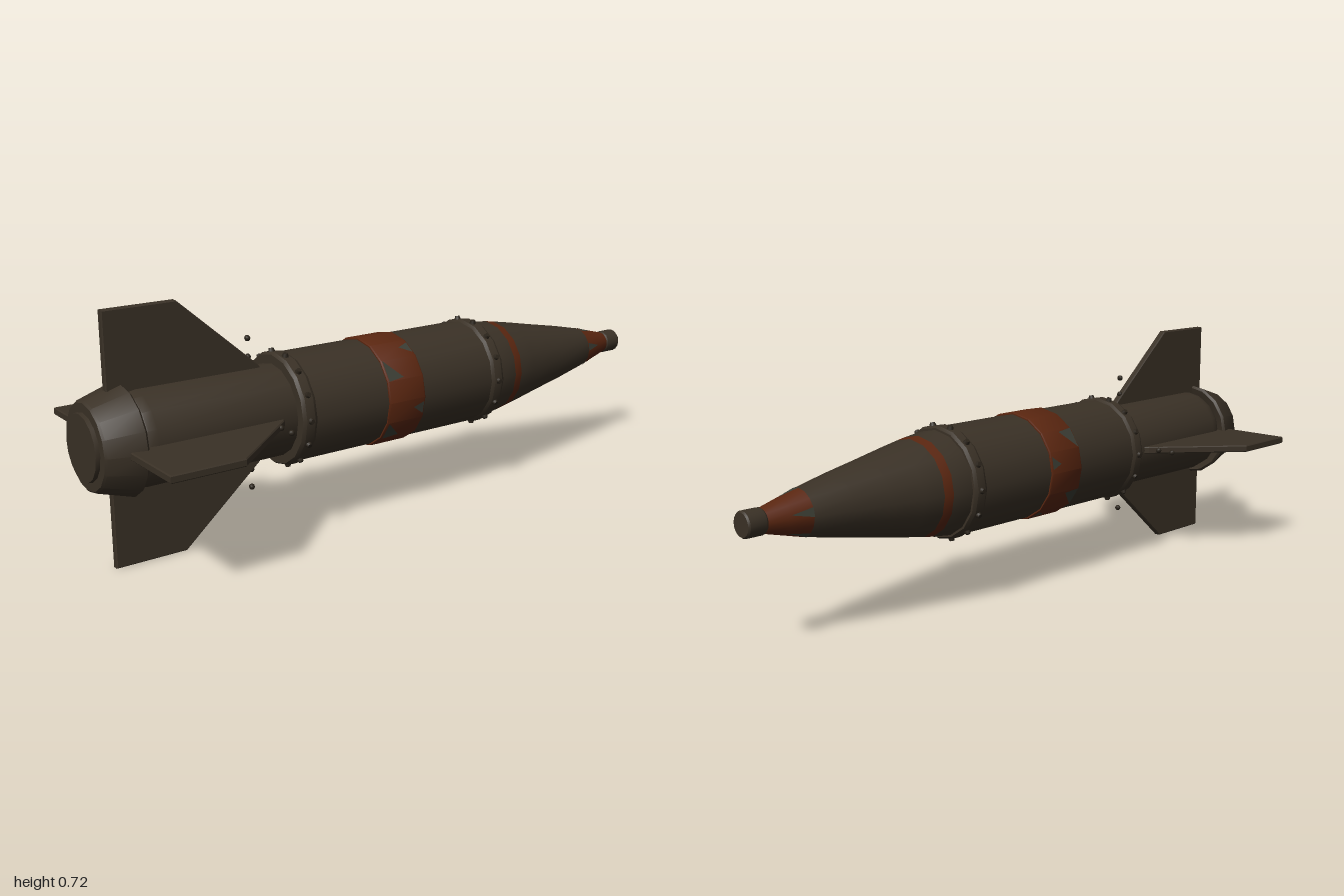
import * as THREE from 'three';
import { toCreasedNormals } from 'three/addons/utils/BufferGeometryUtils.js';

const SIDES = 16;

export function createModel() {
  const olive = new THREE.MeshStandardMaterial({ name: 'dark olive', color: 0x3a3126 });
  const rust = new THREE.MeshStandardMaterial({ name: 'rust orange', color: 0x5a2610 });
  const chip = new THREE.MeshStandardMaterial({ name: 'worn grey', color: 0x3b3d34, side: THREE.DoubleSide });
  const dark = new THREE.MeshStandardMaterial({ name: 'bolt brown', color: 0x2b241b });

  const model = new THREE.Group();
  model.name = 'rocket';
  const rocket = new THREE.Group();
  rocket.name = 'rocketBody';
  rocket.position.y = 0.36;
  model.add(rocket);

  const add = (name, geometry, material, parent = rocket) => {
    const mesh = new THREE.Mesh(geometry, material);
    mesh.name = name;
    parent.add(mesh);
    return mesh;
  };

  // Turned part along z; profile is [radius, z] from nose side to tail side
  const turned = (name, profile, material, start = 0, arc = Math.PI * 2, segments = SIDES) => {
    const points = profile.map(([r, z]) => new THREE.Vector2(r, z));
    const geometry = new THREE.LatheGeometry(points, segments, start, arc).rotateX(Math.PI / 2);
    return add(name, toCreasedNormals(geometry, 0.5), material);
  };

  // Nose cone, split where the paint changes
  turned('noseTip', [[0, -1], [0.033, -1], [0.037, -0.995], [0.037, -0.945], [0.034, -0.94]], olive);
  turned('nosePaint', [[0.034, -0.94], [0.05, -0.88], [0.066, -0.82]], rust);
  turned('noseCone', [[0.066, -0.82], [0.09, -0.71], [0.111, -0.6], [0.131, -0.5], [0.143, -0.435]], olive);
  turned('noseStripe', [[0.143, -0.435], [0.148, -0.405]], rust);
  turned('noseBase', [[0.148, -0.405], [0.156, -0.34]], olive);

  // Main hull and painted belt
  turned('hull', [[0.15, -0.335], [0.162, -0.33], [0.162, 0.4], [0.136, 0.405]], olive);
  turned('paintedBelt', [[0.16, -0.022], [0.166, -0.022], [0.168, -0.018], [0.168, 0.106],
    [0.166, 0.11], [0.16, 0.11]], rust);

  // Bolted joint rings
  const bolts = 14;
  for (const [name, z] of [['frontRing', -0.315], ['rearRing', 0.387]]) {
    turned(name, [[0.15, z - 0.024], [0.162, z - 0.024], [0.168, z - 0.014],
      [0.168, z + 0.014], [0.162, z + 0.024], [0.13, z + 0.024]], olive);
    for (let i = 0; i < bolts; i++) {
      const a = (i / bolts) * Math.PI * 2;
      const bolt = add('ringBolt', new THREE.CylinderGeometry(0.007, 0.011, 0.012, 8), dark);
      bolt.position.set(Math.cos(a) * 0.169, Math.sin(a) * 0.169, z);
      bolt.rotation.z = a - Math.PI / 2;
    }
  }

  // Motor tube and flared nozzle
  turned('motorTube', [[0.136, 0.4], [0.138, 0.84], [0.134, 0.865], [0.122, 0.885]], olive);
  turned('nozzle', [[0.12, 0.885], [0.15, 0.875], [0.157, 0.882], [0.126, 0.982], [0.121, 0.988],
    [0.095, 0.988], [0.094, 1], [0, 1]], olive);

  // Four fins with small mounting studs ahead of them
  const outline = new THREE.Shape();
  outline.moveTo(0.455, 0.11);
  outline.lineTo(0.925, 0.11);
  outline.lineTo(0.925, 0.36);
  outline.lineTo(0.71, 0.36);
  outline.lineTo(0.465, 0.147);
  outline.lineTo(0.455, 0.135);
  const finGeometry = new THREE.ExtrudeGeometry(outline, {
    depth: 0.016, bevelEnabled: true, bevelThickness: 0.003, bevelSize: 0.003,
    bevelOffset: -0.003, bevelSegments: 1,
  }).translate(0, 0, -0.008).rotateY(-Math.PI / 2);
  const studGeometry = new THREE.SphereGeometry(0.009, 8, 6);
  for (let i = 0; i < 4; i++) {
    const assembly = new THREE.Group();
    assembly.name = 'finAssembly';
    assembly.rotation.z = i * Math.PI / 2;
    rocket.add(assembly);
    add('fin', finGeometry, olive, assembly);
    for (const r of [0.168, 0.222]) {
      add('finStud', studGeometry, dark, assembly).position.set(0, r, 0.488);
    }
  }

  // Worn paint: thin facets lying on the painted faces; [side index, z0, z1, taper]
  const facet = 2 * Math.PI / SIDES;
  const wear = (name, side, r0, z0, r1, z1, u0, u1, u2) => {
    const corner = (u, r, z) => {
      const a = side * facet, b = a + facet;
      const lift = r + 0.0015;
      return [lift * THREE.MathUtils.lerp(Math.cos(a), Math.cos(b), u),
        lift * THREE.MathUtils.lerp(Math.sin(a), Math.sin(b), u), z];
    };
    const geometry = new THREE.BufferGeometry();
    geometry.setAttribute('position', new THREE.Float32BufferAttribute(
      [...corner(u0, r0, z0), ...corner(u1, r0, z0), ...corner(u2, r1, z1)], 3));
    geometry.computeVertexNormals();
    add(name, geometry, chip);
  };
  for (const side of [1, 6, 9, 14]) {
    wear('beltWear', side, 0.168, 0.105, 0.168, 0.05, 0, 1, 0.1);
    wear('beltWear', side + 1, 0.168, -0.017, 0.168, 0.02, 0.2, 0.8, 0.6);
  }
  for (const side of [0, 3, 7, 10, 13]) {
    wear('noseWear', side, 0.066, -0.82, 0.05, -0.88, 0, 1, 0.4);
  }

  return model;
}
